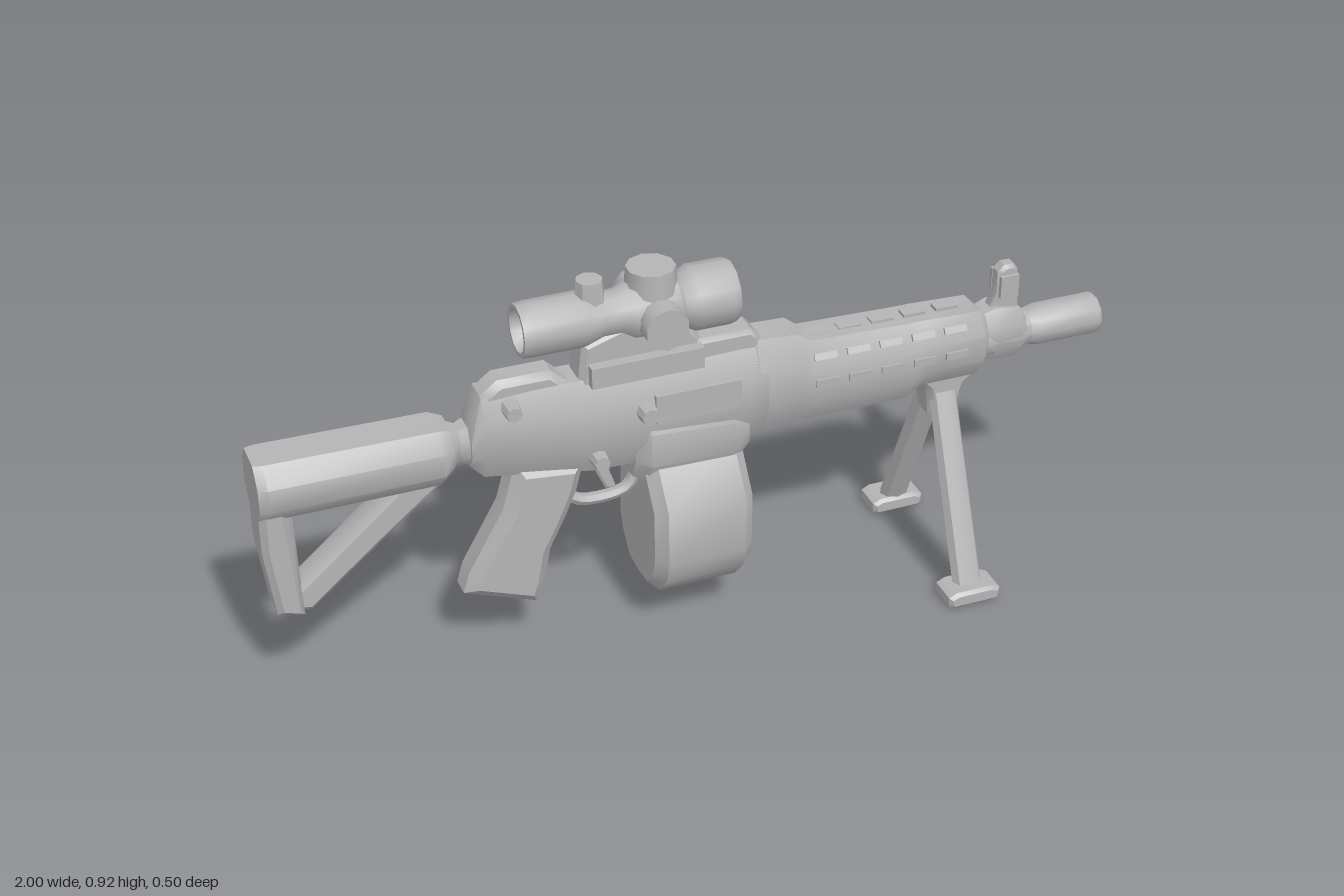
import * as THREE from 'three';
import { toCreasedNormals } from 'three/addons/utils/BufferGeometryUtils.js';

const gunGrey = new THREE.MeshStandardMaterial({ color: 0xb4b4b4 });
gunGrey.name = 'matte grey';

// Loft of chamfered eight-sided sections along x: [x, yBottom, yTop, halfWidth, topHalf, bottomHalf]
function loft(sections) {
  const pos = [], idx = [], n = 8;
  for (const [x, b, t, w, tw = w * 0.55, bw = w * 0.55] of sections) {
    const h = t - b;
    const ring = [[t, -tw], [t, tw], [t - h * 0.3, w], [b + h * 0.3, w],
      [b, bw], [b, -bw], [b + h * 0.3, -w], [t - h * 0.3, -w]];
    for (const [y, z] of ring) pos.push(x, y, z);
  }
  const last = (sections.length - 1) * n;
  for (let i = 0; i < last; i += n) {
    for (let j = 0; j < n; j++) {
      const k = (j + 1) % n;
      idx.push(i + j, i + k, i + n + j, i + k, i + n + k, i + n + j);
    }
  }
  for (let j = 1; j < n - 1; j++) idx.push(0, j + 1, j, last, last + j, last + j + 1);
  const g = new THREE.BufferGeometry();
  g.setAttribute('position', new THREE.Float32BufferAttribute(pos, 3));
  g.setIndex(idx);
  return g;
}

// Bevelled plate from a side outline, centred on z = 0
function plate(points, width, bevel, hole) {
  const shape = new THREE.Shape(points.map(p => new THREE.Vector2(...p)));
  if (hole) shape.holes.push(new THREE.Path(hole.map(p => new THREE.Vector2(...p))));
  const depth = width - 2 * bevel;
  return new THREE.ExtrudeGeometry(shape, {
    depth, bevelThickness: bevel, bevelSize: bevel, bevelOffset: -bevel, bevelSegments: 1, curveSegments: 4,
  }).translate(0, 0, -depth / 2);
}

// Turned part along +x; profile points are [radius, x]
function turned(profile, y, sides = 12) {
  const g = new THREE.LatheGeometry(profile.map(p => new THREE.Vector2(...p)), sides);
  return g.rotateZ(-Math.PI / 2).translate(0, y, 0);
}

const box = (w, h, d, x, y, z) => new THREE.BoxGeometry(w, h, d).translate(x, y, z);

export function createModel() {
  const model = new THREE.Group();
  const add = (name, geometry, crease = 0.75) => {
    const mesh = new THREE.Mesh(toCreasedNormals(geometry, crease), gunGrey);
    mesh.name = name;
    model.add(mesh);
    return mesh;
  };

  // Shoulder stock: tube, open triangular frame and neck
  add('stockTube', loft([[-1, 0.5, 0.64, 0.07], [-0.98, 0.5, 0.64, 0.08], [-0.6, 0.5, 0.635, 0.078], [-0.57, 0.52, 0.625, 0.06]]));
  add('stockFrame', plate(
    [[-1, 0.6], [-1, 0.42], [-0.98, 0.255], [-0.9, 0.24], [-0.74, 0.375], [-0.6, 0.49], [-0.6, 0.54]],
    0.08, 0.014, [[-0.925, 0.5], [-0.71, 0.49], [-0.92, 0.31]]));
  add('stockButt', plate([[-1, 0.62], [-1, 0.42], [-0.98, 0.255], [-0.92, 0.24], [-0.93, 0.42], [-0.95, 0.62]], 0.11, 0.014));
  add('stockNeck', loft([[-0.59, 0.51, 0.625, 0.055], [-0.55, 0.53, 0.61, 0.032], [-0.49, 0.51, 0.63, 0.06]]));

  // Receiver body with raised rear hump
  add('receiver', loft([
    [-0.53, 0.52, 0.62, 0.05], [-0.5, 0.49, 0.69, 0.06], [-0.39, 0.475, 0.69, 0.065],
    [-0.25, 0.45, 0.685, 0.07], [-0.12, 0.45, 0.685, 0.075], [0.1, 0.46, 0.69, 0.075],
    [0.15, 0.47, 0.69, 0.072],
  ]));
  add('rearHump', plate([[-0.51, 0.6], [-0.5, 0.69], [-0.46, 0.72], [-0.34, 0.72], [-0.31, 0.69], [-0.25, 0.67], [-0.25, 0.6]], 0.075, 0.015));
  add('magazineWell', loft([[-0.16, 0.41, 0.58, 0.055], [-0.13, 0.39, 0.6, 0.08], [0.07, 0.39, 0.58, 0.08], [0.11, 0.42, 0.54, 0.06]]));
  add('topRail', plate([[-0.28, 0.66], [-0.27, 0.73], [0.12, 0.73], [0.14, 0.71], [0.15, 0.66]], 0.085, 0.01));

  // Controls on the receiver sides
  for (const [x, y, r, z] of [[-0.14, 0.6, 0.025, 0.085], [-0.25, 0.5, 0.022, 0.075], [-0.44, 0.66, 0.022, 0.06]]) {
    add('receiverKnob', new THREE.CylinderGeometry(r * 0.8, r, 0.04, 8).rotateX(Math.PI / 2).translate(x, y, z));
  }
  add('ejectionCover', box(0.2, 0.07, 0.012, -0.02, 0.6, 0.077));
  add('sidePlate', box(0.24, 0.055, 0.012, -0.05, 0.6, -0.077));

  // Handguard with rows of vent ribs
  add('handguard', loft([
    [0.13, 0.47, 0.7, 0.07], [0.23, 0.47, 0.695, 0.072], [0.26, 0.47, 0.672, 0.075],
    [0.5, 0.47, 0.665, 0.075], [0.54, 0.495, 0.665, 0.075], [0.68, 0.495, 0.66, 0.073], [0.7, 0.52, 0.64, 0.055],
  ]));
  for (let i = 0; i < 5; i++) {
    const x = 0.29 + i * 0.08;
    add('topVentRib', box(0.055, 0.008, 0.03, x, 0.668, 0));
    for (const s of [-1, 1]) {
      add('sideVentRib', box(0.055, 0.018, 0.008, x, 0.58, s * 0.076));
      const rib = add('upperVentRib', box(0.055, 0.016, 0.008, 0, 0, 0));
      rib.position.set(x, 0.638, s * 0.06);
      rib.rotation.x = -s * 0.55;
    }
  }

  // Barrel, hollow muzzle and front sight
  add('barrel', turned([[0, 0.66], [0.052, 0.66], [0.052, 0.79], [0.043, 0.82], [0.05, 0.85],
    [0.05, 0.99], [0.046, 1], [0.032, 1], [0.028, 0.9], [0, 0.9]], 0.57, 10));
  add('sightBase', loft([[0.7, 0.52, 0.64, 0.045], [0.73, 0.515, 0.65, 0.052], [0.79, 0.515, 0.64, 0.05], [0.81, 0.53, 0.61, 0.04]]));
  add('frontSight', plate([[0.705, 0.61], [0.735, 0.68], [0.735, 0.735], [0.75, 0.75], [0.775, 0.75], [0.785, 0.735], [0.795, 0.61]], 0.04, 0.008));
  for (const s of [-1, 1]) add('sightWing', box(0.045, 0.055, 0.01, 0.76, 0.7, s * 0.024));

  // Pistol grip, trigger and guard
  add('pistolGrip', plate([[-0.43, 0.5], [-0.27, 0.48], [-0.29, 0.4], [-0.32, 0.33], [-0.355, 0.26], [-0.37, 0.18],
    [-0.39, 0.125], [-0.56, 0.19], [-0.545, 0.24], [-0.46, 0.39]], 0.1, 0.025));
  const guard = new THREE.CatmullRomCurve3([[-0.31, 0.38], [-0.27, 0.355], [-0.17, 0.36], [-0.145, 0.39], [-0.14, 0.46]]
    .map(([x, y]) => new THREE.Vector3(x, y, 0)));
  add('triggerGuard', new THREE.TubeGeometry(guard, 12, 0.014, 6));
  add('trigger', plate([[-0.24, 0.47], [-0.2, 0.47], [-0.205, 0.42], [-0.19, 0.375], [-0.215, 0.375], [-0.235, 0.42]], 0.024, 0.005));

  // Drum magazine, extruded along x
  const drum = plate([[-0.05, 0.47], [0.05, 0.47], [0.135, 0.355], [0.14, 0.22], [0.12, 0.165], [0.07, 0.11],
    [0, 0.102], [-0.07, 0.11], [-0.12, 0.165], [-0.135, 0.22], [-0.135, 0.355]], 0.235, 0.025);
  add('drumMagazine', drum.rotateY(Math.PI / 2).translate(-0.02, 0, 0));

  // Bipod
  add('bipodMount', plate([[0.53, 0.51], [0.69, 0.51], [0.66, 0.47], [0.64, 0.4], [0.57, 0.4], [0.56, 0.47]], 0.08, 0.015));
  for (const s of [-1, 1]) {
    const leg = add('bipodLeg', new THREE.CylinderGeometry(0.034, 0.036, 0.47, 8).scale(1, 1, 0.72));
    leg.position.set(0.605, 0.24, s * 0.115);
    leg.rotation.x = -s * 0.4;
    const foot = plate([[0.54, 0.008], [0.55, 0], [0.66, 0], [0.67, 0.008], [0.67, 0.03], [0.65, 0.04], [0.56, 0.04], [0.54, 0.03]], 0.085, 0.008);
    add('bipodFoot', foot.translate(0, 0, s * 0.21));
  }

  // Scope with hollow ends, turrets and mount
  const scopeY = 0.81;
  add('scopeTube', turned([[0, -0.35], [0.045, -0.36], [0.05, -0.405], [0.06, -0.405], [0.062, -0.38], [0.062, -0.26],
    [0.05, -0.22], [0.052, -0.18], [0.066, -0.15], [0.066, -0.05], [0.058, -0.04], [0.074, -0.01], [0.074, 0.07],
    [0.07, 0.085], [0.058, 0.085], [0.052, 0.04], [0, 0.03]], scopeY).translate(0, 0.008, 0));
  add('topTurret', new THREE.CylinderGeometry(0.055, 0.06, 0.07, 10).translate(-0.1, 0.88, 0));
  add('rearTurret', new THREE.CylinderGeometry(0.03, 0.036, 0.06, 8).translate(-0.24, 0.88, 0));
  for (const s of [-1, 1]) {
    add('sideTurret', new THREE.CylinderGeometry(0.05, 0.05, 0.06, 10).rotateX(Math.PI / 2).translate(-0.1, scopeY, s * 0.075));
    add('mountClamp', box(0.26, 0.05, 0.03, -0.13, 0.7, s * 0.05));
  }
  add('scopeMount', plate([[-0.28, 0.68], [-0.27, 0.77], [-0.18, 0.8], [-0.05, 0.8], [0, 0.74], [0.01, 0.68]], 0.08, 0.012));

  return model;
}
